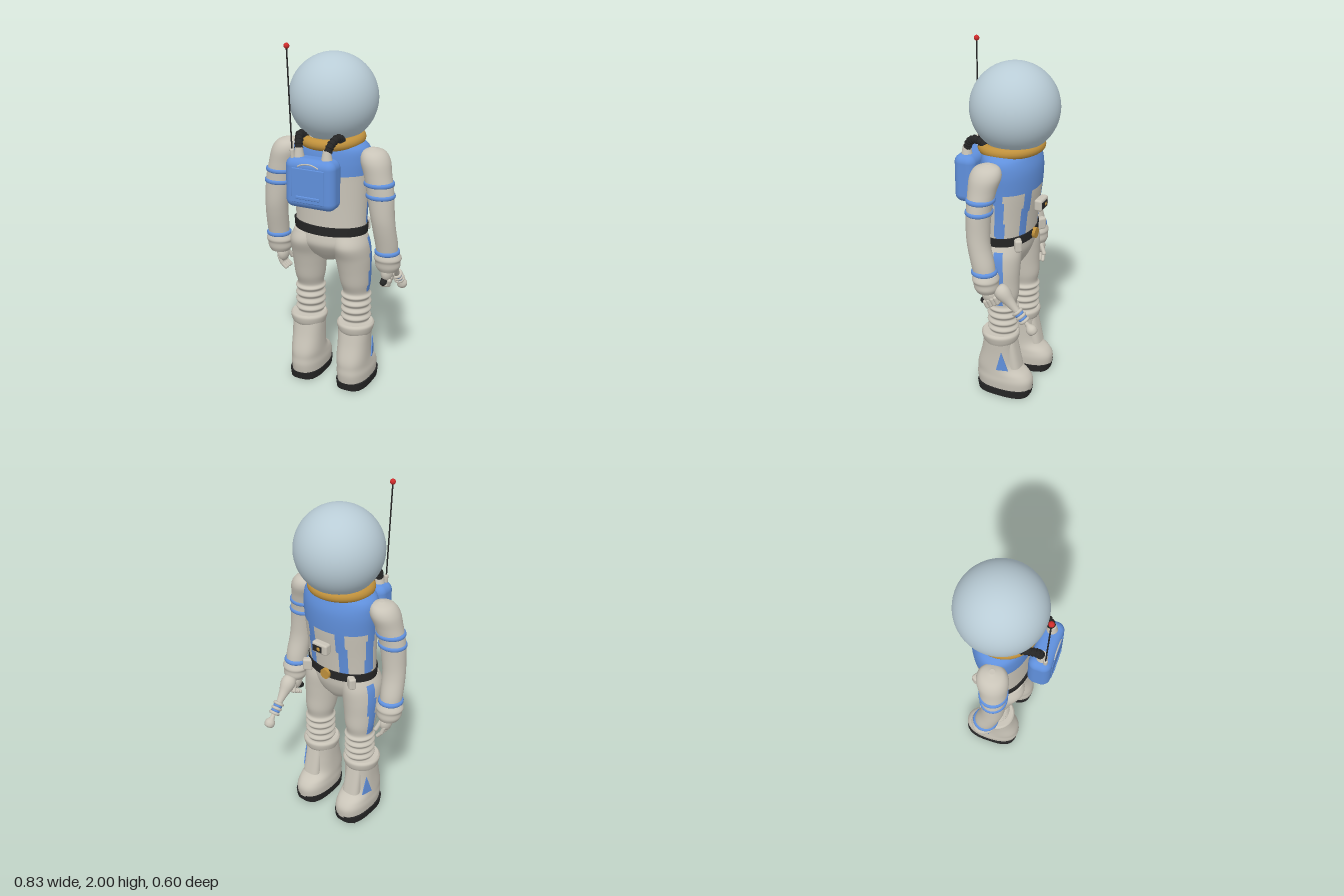
import * as THREE from 'three';
import { RoundedBoxGeometry } from 'three/addons/geometries/RoundedBoxGeometry.js';

const paint = (name, color, side = THREE.FrontSide) => {
  const m = new THREE.MeshStandardMaterial({ color, side });
  m.name = name;
  return m;
};

export function createModel() {
  const white = paint('suit white', 0xc9c4b8);
  const blue = paint('suit blue', 0x6090dc);
  const gold = paint('collar gold', 0xc0913c);
  const black = paint('rubber black', 0x262626);
  const glass = paint('helmet pale blue', 0xb9ccd6);
  const red = paint('antenna red', 0xd02c2c);
  const model = new THREE.Group();
  model.name = 'astronaut';

  const add = (name, geo, mat, x = 0, y = 0, z = 0) => {
    const m = new THREE.Mesh(geo, mat);
    m.name = name;
    m.position.set(x, y, z);
    model.add(m);
    return m;
  };
  const V = (x, y, z) => new THREE.Vector3(x, y, z);

  // Skin over horizontal oval sections [y, cx, cz, rx, rz], bottom to top.
  // pick(x, y, z) gives true where a face takes the second colour.
  function loft(name, rows, mats, { sub = 6, seg = 48, e = 1, pick = () => false } = {}) {
    const rings = [];
    const at = (i) => rows[Math.min(Math.max(i, 0), rows.length - 1)];
    for (let i = 0; i < rows.length - 1; i++)
      for (let k = 0; k < sub; k++) {
        const t = k / sub;
        rings.push(at(i).map((b, c) => {
          const a = at(i - 1)[c], d = at(i + 1)[c], f = at(i + 2)[c];
          return b + 0.5 * t * (d - a + t * (2 * a - 5 * b + 4 * d - f + t * (3 * (b - d) + f - a)));
        }));
      }
    rings.push(at(rows.length));
    const pos = [], groups = [[], []];
    const bend = (v) => Math.sign(v) * Math.abs(v) ** e;
    const ring = ([y, cx, cz, rx, rz]) => {
      for (let j = 0; j < seg; j++) {
        const a = (j / seg) * Math.PI * 2;
        pos.push(cx + rx * bend(Math.cos(a)), y, cz + rz * bend(Math.sin(a)));
      }
    };
    rings.forEach(ring);
    for (let i = 0; i < rings.length - 1; i++)
      for (let j = 0; j < seg; j++) {
        const a = i * seg + j, b = i * seg + ((j + 1) % seg), c = a + seg, d = b + seg;
        const mid = [0, 1, 2].map((k) => (pos[a * 3 + k] + pos[b * 3 + k] + pos[c * 3 + k] + pos[d * 3 + k]) / 4);
        groups[pick(...mid) ? 1 : 0].push(a, c, b, b, c, d);
      }
    // end caps with their own rims
    [rings[0], rings[rings.length - 1]].forEach((r, top) => {
      const s = pos.length / 3;
      ring(r);
      pos.push(r[1], r[0], r[2]);
      for (let j = 0; j < seg; j++) {
        const n = s + ((j + 1) % seg);
        groups[0].push(s + seg, ...(top ? [n, s + j] : [s + j, n]));
      }
    });
    const g = new THREE.BufferGeometry();
    g.setAttribute('position', new THREE.Float32BufferAttribute(pos, 3));
    g.setIndex([...groups[0], ...groups[1]]);
    g.addGroup(0, groups[0].length, 0);
    g.addGroup(groups[0].length, groups[1].length, 1);
    g.computeVertexNormals();
    return add(name, g, mats);
  }
  const suit = [white, blue];

  // Rounded rod between two points
  const rod = (name, a, b, r, mat) => {
    const d = b.clone().sub(a);
    const m = add(name, new THREE.CapsuleGeometry(r, d.length(), 5, 14), mat);
    m.position.copy(a).addScaledVector(d, 0.5);
    m.quaternion.setFromUnitVectors(V(0, 1, 0), d.normalize());
    return m;
  };
  const ball = (name, r, mat, p, s = [1, 1, 1]) =>
    add(name, new THREE.SphereGeometry(r, 24, 16), mat, ...p).scale.set(...s);

  // Helmet and collar
  add('helmet', new THREE.SphereGeometry(0.242, 48, 32), glass, 0, 1.678, -0.018);
  const collar = add('collar', new THREE.TorusGeometry(0.153, 0.031, 16, 48), gold, 0, 1.465, 0);
  collar.rotation.x = Math.PI / 2 + 0.06;

  // Torso with blue yoke, front straps and side stripes
  loft('torso', [
    [0.96, 0, 0.012, 0.208, 0.137], [1.1, 0, 0.005, 0.212, 0.145], [1.25, 0, -0.003, 0.22, 0.156],
    [1.36, 0, -0.004, 0.226, 0.158], [1.43, 0, 0, 0.212, 0.145], [1.47, 0, 0, 0.15, 0.125],
  ], suit, {
    seg: 96, sub: 10,
    pick: (x, y, z) => y > (z > 0 ? 1.29 : 1.25)
      || (z < -0.06 && Math.abs(x) > 0.075 && Math.abs(x) < 0.125)
      || (Math.abs(x) > 0.17 && z > -0.045 && z < 0.005),
  });
  add('chest box', new RoundedBoxGeometry(0.1, 0.065, 0.045, 3, 0.012), white, 0, 1.155, -0.175);
  add('chest box plate', new THREE.BoxGeometry(0.06, 0.035, 0.006), black, 0.01, 1.155, -0.199);
  ball('chest box dial', 0.012, gold, [0, 1.155, -0.201], [1, 1, 0.4]);

  // Belt
  loft('belt', [[0.945, 0, 0.012, 0.214, 0.146], [0.995, 0, 0.012, 0.218, 0.148]], black, { sub: 1 }).material = [black, black];
  const buckle = add('belt buckle', new THREE.CylinderGeometry(0.03, 0.03, 0.02, 24), gold, 0, 0.97, -0.141);
  buckle.rotation.x = Math.PI / 2;

  // Hips
  loft('hips', [
    [0.775, 0, 0.01, 0.06, 0.07], [0.82, 0, 0.015, 0.15, 0.105], [0.88, 0, 0.022, 0.205, 0.135],
    [0.93, 0, 0.018, 0.208, 0.138], [0.965, 0, 0.012, 0.2, 0.135],
  ], suit);

  for (const s of [-1, 1]) {
    const pouch = add('belt pouch', new RoundedBoxGeometry(0.055, 0.07, 0.04, 3, 0.012), white, s * 0.155, 0.955, -0.108);
    pouch.rotation.y = s * 0.6;

    // Trouser leg with outer stripe and pleated knee
    const pleats = [];
    for (let i = 0; i < 11; i++) {
      const bulge = i % 2 ? 0.009 : -0.004;
      pleats.push([0.36 + i * 0.022, s * 0.145, -0.014, 0.078 + bulge, 0.081 + bulge]);
    }
    loft('trouser leg', [
      ...pleats, [0.64, s * 0.143, -0.008, 0.085, 0.094], [0.72, s * 0.14, 0.001, 0.093, 0.104],
      [0.8, s * 0.136, 0.01, 0.1, 0.117], [0.88, s * 0.126, 0.024, 0.104, 0.134],
      [0.94, s * 0.112, 0.02, 0.095, 0.12],
    ], suit, { pick: (x, y, z) => y > 0.59 && y < 0.92 && s * x > 0.18 && z > -0.045 && z < 0.008 });

    // Boot
    loft('boot', [
      [0.035, s * 0.148, -0.03, 0.09, 0.162], [0.09, s * 0.148, -0.027, 0.095, 0.168],
      [0.13, s * 0.147, -0.016, 0.092, 0.155], [0.18, s * 0.146, 0.013, 0.09, 0.122],
      [0.27, s * 0.146, 0.008, 0.09, 0.102], [0.36, s * 0.147, 0, 0.094, 0.092],
    ], suit, { e: 0.85 });
    loft('boot cuff', [
      [0.335, s * 0.149, 0, 0.094, 0.094], [0.355, s * 0.149, 0, 0.101, 0.104],
      [0.385, s * 0.149, 0, 0.107, 0.109], [0.4, s * 0.149, 0, 0.096, 0.1],
    ], suit);
    loft('boot shin flap', [
      [0.175, s * 0.15, -0.085, 0.055, 0.046], [0.34, s * 0.15, -0.066, 0.05, 0.028],
    ], suit, { sub: 1, e: 0.7 });
    loft('boot sole', [
      [0, s * 0.15, -0.028, 0.092, 0.157], [0.045, s * 0.15, -0.028, 0.096, 0.164],
    ], [black, black], { sub: 1, e: 0.7 });
    for (let i = 0; i < 7; i++)
      add('sole tread', new THREE.BoxGeometry(0.14, 0.008, 0.018), black, s * 0.15, 0.002, -0.15 + i * 0.04);
    const tri = new THREE.Shape([new THREE.Vector2(-0.04, 0), new THREE.Vector2(0.03, 0), new THREE.Vector2(-0.01, 0.12)]);
    const mark = add('boot blue mark', new THREE.ExtrudeGeometry(tri, { depth: 0.006, bevelEnabled: false }), blue,
      s * 0.232, 0.175, -0.05);
    mark.rotation.y = s * (Math.PI / 2 + 0.25);

    // Sleeve with double upper band and wrist band
    loft('sleeve', [
      [0.82, s * 0.338, 0, 0.056, 0.058], [0.9, s * 0.337, 0.014, 0.062, 0.063],
      [1.0, s * 0.33, 0.038, 0.064, 0.062], [1.08, s * 0.322, 0.047, 0.067, 0.064],
      [1.2, s * 0.308, 0.046, 0.075, 0.067], [1.3, s * 0.288, 0.038, 0.076, 0.076],
      [1.375, s * 0.268, 0.027, 0.08, 0.085], [1.42, s * 0.257, 0.022, 0.06, 0.065], [1.44, s * 0.25, 0.02, 0.015, 0.015],
    ], suit, { sub: 10 });
    for (const [y, x, z, rx, rz, h] of [
      [1.255, 0.298, 0.042, 0.083, 0.077, 0.03], [1.19, 0.309, 0.046, 0.08, 0.073, 0.03], [0.858, 0.338, 0.006, 0.069, 0.07, 0.03],
    ])
      loft('sleeve band', [
        [y - h / 2, s * x, z, rx - 0.012, rz - 0.012], [y - h / 4, s * x, z, rx, rz],
        [y + h / 4, s * x, z, rx, rz], [y + h / 2, s * x, z, rx - 0.012, rz - 0.012],
      ], [blue, blue], { sub: 3 });
    loft('glove cuff', [
      [0.745, s * 0.338, -0.008, 0.055, 0.055], [0.77, s * 0.338, -0.007, 0.069, 0.066],
      [0.8, s * 0.338, -0.004, 0.071, 0.068], [0.82, s * 0.338, -0.002, 0.078, 0.073], [0.845, s * 0.338, 0, 0.066, 0.064],
    ], suit);
    ball('palm', 0.045, white, [s * 0.328, 0.72, -0.02], [0.75, 1.15, 1]);

    // Air hose
    add('hose fitting', new THREE.CylinderGeometry(0.02, 0.032, 0.06, 20), white, s * 0.082, 1.425, 0.23);
    const hose = new THREE.CatmullRomCurve3([
      V(s * 0.083, 1.43, 0.228), V(s * 0.092, 1.475, 0.21), V(s * 0.108, 1.505, 0.165), V(s * 0.11, 1.49, 0.12), V(s * 0.1, 1.45, 0.09),
    ]);
    add('air hose', new THREE.TubeGeometry(hose, 28, 0.02, 12), black);
    for (let i = 1; i < 9; i++) {
      const rib = add('hose rib', new THREE.TorusGeometry(0.019, 0.005, 8, 16), black, ...hose.getPointAt(i / 10).toArray());
      rib.quaternion.setFromUnitVectors(V(0, 0, 1), hose.getTangentAt(i / 10));
    }

    // Fingers: relaxed on one hand, curled round the grip on the other
    for (let i = 0; i < 4; i++) {
      const z = -0.05 + i * 0.02;
      if (s < 0) {
        rod('finger', V(-0.338, 0.7, z), V(-0.326, 0.662, z - 0.006), 0.011, white);
        rod('finger tip', V(-0.326, 0.662, z - 0.006), V(-0.303, 0.636, z - 0.012), 0.01, white);
      } else {
        const y = 0.715 - i * 0.012;
        rod('finger', V(0.35, y, z - 0.012), V(0.342, y - 0.03, z - 0.022), 0.012, white);
        rod('finger tip', V(0.342, y - 0.03, z - 0.022), V(0.305, y - 0.035, z - 0.02), 0.012, white);
      }
    }
    rod('thumb', V(s * 0.315, 0.735, -0.045), V(s * 0.298, 0.685, -0.072), 0.012, white);
  }

  // Ray gun, pointing forward and down
  const profile = [
    [0, 0], [0.03, 0.004], [0.043, 0.03], [0.042, 0.06], [0.03, 0.1], [0.022, 0.14], [0.018, 0.17],
    [0.014, 0.2], [0.013, 0.26], [0.02, 0.275], [0.029, 0.29], [0.03, 0.305], [0.022, 0.322], [0, 0.328],
  ].map(([r, y]) => new THREE.Vector2(r, y));
  const muzzle = V(0, -0.74, -0.67).normalize();
  const start = V(0.322, 0.775, -0.065);
  const gun = add('ray gun body', new THREE.LatheGeometry(new THREE.SplineCurve(profile).getPoints(52), 24), white, ...start.toArray());
  gun.material.side = THREE.DoubleSide;
  gun.quaternion.setFromUnitVectors(V(0, 1, 0), muzzle);
  [[0.175, white], [0.19, blue], [0.205, white], [0.22, blue], [0.235, white]].forEach(([d, mat], i) => {
    const ring = add('ray gun ring', new THREE.TorusGeometry(i % 2 ? 0.018 : 0.024, 0.009, 10, 24), mat);
    ring.position.copy(start).addScaledVector(muzzle, d);
    ring.quaternion.setFromUnitVectors(V(0, 0, 1), muzzle);
  });
  rod('ray gun grip', V(0.322, 0.72, -0.07), V(0.322, 0.672, 0.018), 0.019, black);

  // Backpack
  add('backpack', new RoundedBoxGeometry(0.29, 0.275, 0.125, 6, 0.045), blue, 0, 1.27, 0.228);
  add('backpack panel', new RoundedBoxGeometry(0.19, 0.19, 0.012, 3, 0.005), blue, 0, 1.265, 0.288);
  add('backpack ledge', new RoundedBoxGeometry(0.14, 0.018, 0.014, 3, 0.005), blue, 0, 1.2, 0.292);
  const trim = add('backpack trim', new THREE.TorusGeometry(0.115, 0.004, 6, 24, 1.1), white, 0, 1.27, 0.289);
  trim.rotation.z = Math.PI / 2 - 0.55;

  // Antenna
  rod('antenna base', V(-0.105, 1.4, 0.255), V(-0.108, 1.44, 0.256), 0.012, white);
  rod('antenna', V(-0.108, 1.44, 0.256), V(-0.125, 1.98, 0.266), 0.004, black);
  ball('antenna tip', 0.015, red, [-0.125, 1.985, 0.266]);

  return model;
}
